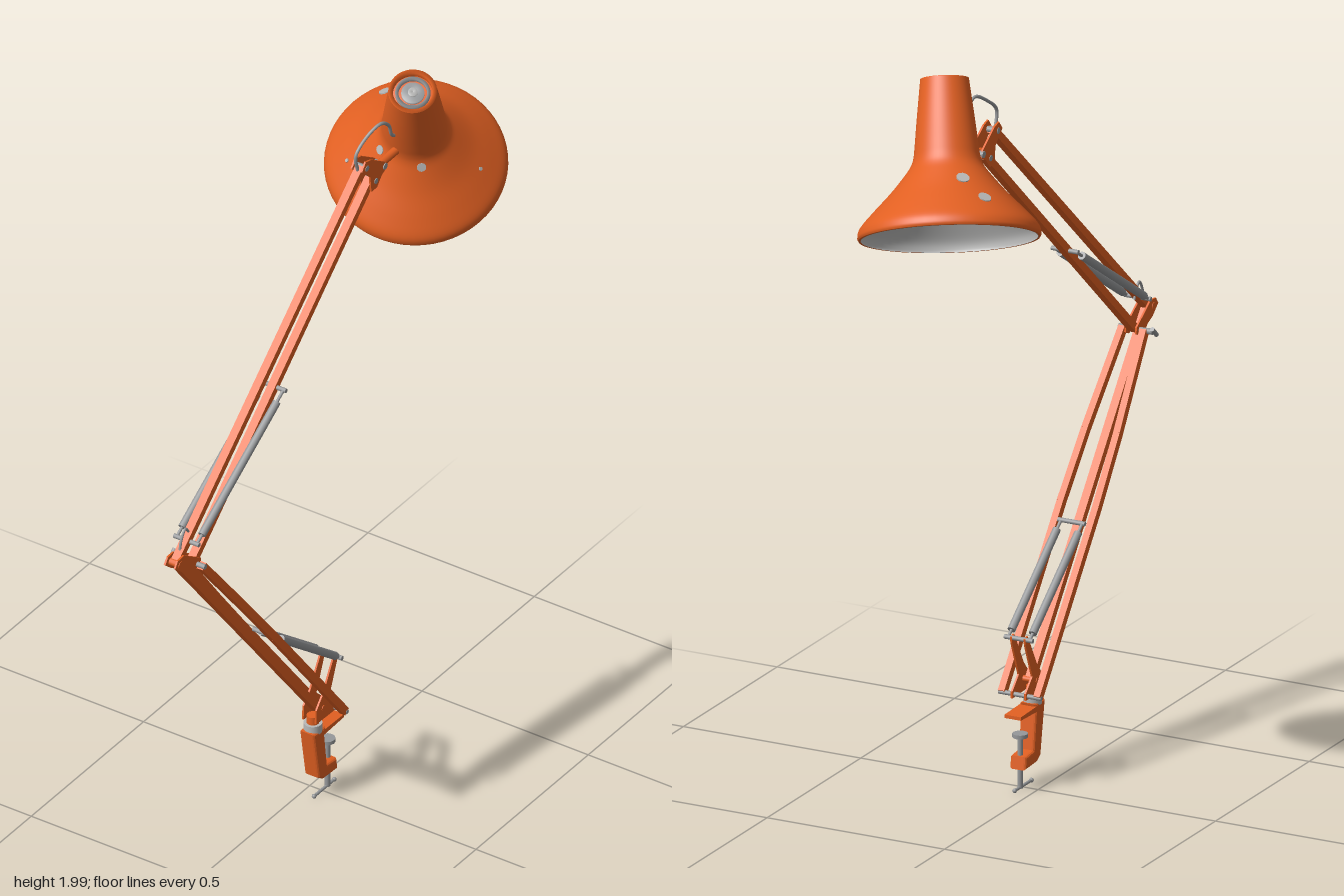
import * as THREE from 'three';

const mat = (name, color, side = THREE.FrontSide) => {
  const m = new THREE.MeshStandardMaterial({ color, side });
  m.name = name;
  return m;
};

export function createModel() {
  const orange = mat('orange paint', 0xe26022);
  const steel = mat('steel', 0x96989a);
  const pale = mat('pale grey', 0xb9b9b8, THREE.DoubleSide);
  const CX = 0.04; // plane of the arms
  const V = (x, y, z) => new THREE.Vector3(x, y, z);
  const P = (z, y, dx = 0) => V(CX + dx, y, z);

  const model = new THREE.Group();
  model.name = 'deskLamp';
  const add = (name, geo, material, parent = model) => {
    const m = new THREE.Mesh(geo, material);
    m.name = name;
    parent.add(m);
    return m;
  };

  // Place a y-long part between two points, keeping its x side level
  const span = (mesh, a, b) => {
    const d = b.clone().sub(a).normalize();
    const x = V(1, 0, 0);
    if (Math.abs(d.x) > 0.99) x.set(0, 0, 1);
    x.addScaledVector(d, -x.dot(d)).normalize();
    mesh.quaternion.setFromRotationMatrix(new THREE.Matrix4().makeBasis(x, d, x.clone().cross(d)));
    mesh.position.copy(a).add(b).multiplyScalar(0.5);
    return mesh;
  };
  const bar = (name, a, b, w, d) => span(add(name, new THREE.BoxGeometry(w, a.distanceTo(b), d), orange), a, b);
  const rod = (name, a, b, r, m = steel, sides = 12) =>
    span(add(name, new THREE.CylinderGeometry(r, r, a.distanceTo(b), sides), m), a, b);
  const pin = (name, z, y, half, r, m = steel) => rod(name, P(z, y, -half), P(z, y, half), r, m);
  const wire = (name, pts, r) =>
    add(name, new THREE.TubeGeometry(new THREE.CatmullRomCurve3(pts), 32, r, 8), steel);

  // Side profile in (z, y), extruded across x
  const plate = (name, pts, width, dx = 0, bevel = 0) => {
    const shape = new THREE.Shape(pts.map(([z, y]) => new THREE.Vector2(-z, y)));
    const geo = new THREE.ExtrudeGeometry(shape, {
      depth: width - 2 * bevel, bevelEnabled: bevel > 0, bevelSize: bevel,
      bevelThickness: bevel, bevelOffset: -bevel, bevelSegments: 3,
    });
    geo.translate(0, 0, -width / 2 + bevel).rotateY(Math.PI / 2).translate(CX + dx, 0, 0);
    return add(name, geo, orange);
  };

  // Table clamp
  plate('clampBody', [[0.073, 0.222], [0.018, 0.222], [0.024, 0.2], [0.012, 0.102], [-0.03, 0.097],
    [-0.035, 0.063], [0.03, 0.066], [0.05, 0.08]], 0.046, 0, 0.008);
  plate('clampJaw', [[0.05, 0.216], [-0.06, 0.213], [-0.06, 0.204], [0.05, 0.2]], 0.046);
  rod('clampScrew', P(-0.02, 0.01), P(-0.02, 0.15), 0.007);
  rod('clampPad', P(-0.02, 0.145), P(-0.02, 0.155), 0.02);
  rod('clampHandle', P(0.04, 0.012), P(-0.05, 0.012), 0.004);
  for (const z of [0.04, -0.05]) {
    add('handleEnd', new THREE.SphereGeometry(0.006, 10, 8), steel).position.copy(P(z, 0.012));
  }
  rod('pivotCollar', P(0.045, 0.215), P(0.045, 0.24), 0.024, pale, 20);
  rod('pivotPost', P(0.045, 0.23), P(0.045, 0.262), 0.016, orange, 16);

  // Base bracket carrying the lower arm and springs
  for (const s of [-1, 1]) {
    plate('baseBracket', [[0.062, 0.25], [0.06, 0.29], [0.03, 0.325], [-0.02, 0.415], [-0.034, 0.41],
      [-0.032, 0.395], [0.005, 0.3], [-0.03, 0.265], [-0.03, 0.247]], 0.005, s * 0.019);
  }
  pin('frontBasePin', 0.03, 0.282, 0.023, 0.008, orange);
  pin('rearBasePin', -0.02, 0.256, 0.06, 0.006);
  pin('baseSpringPin', -0.027, 0.407, 0.04, 0.006);

  // Lower arm: one central bar and a bowed pair behind it
  bar('lowerFrontBar', P(0.03, 0.276), P(0.655, 1.07), 0.022, 0.02);
  for (const s of [-1, 1]) {
    const pts = [[0, 0.05], [0.52, 0.05], [0.72, 0.045], [1, 0.03]].map(([t, dx]) =>
      P(-0.02 + 0.606 * t, 0.256 + 0.779 * t, s * dx));
    for (let i = 0; i < 3; i++) bar('lowerRearBar', pts[i], pts[i + 1], 0.018, 0.021);
  }

  // Elbow joint
  for (const s of [-1, 1]) {
    plate('elbowPlate', [[0.684, 1.075], [0.672, 1.092], [0.645, 1.094], [0.57, 1.045],
      [0.568, 1.028], [0.585, 1.02], [0.655, 1.05]], 0.005, s * 0.015);
  }
  pin('elbowFrontPin', 0.66, 1.074, 0.019, 0.01, orange);
  pin('elbowRearPin', 0.586, 1.035, 0.042, 0.007);
  rod('elbowKnob', P(0.586, 1.035, -0.054), P(0.586, 1.035, -0.04), 0.008);
  rod('elbowWingNut', P(0.598, 1.024, -0.058), P(0.574, 1.046, -0.058), 0.006);
  wire('elbowCable', [P(0.64, 1.085), P(0.632, 1.125), P(0.615, 1.15), P(0.6, 1.135), P(0.588, 1.11)], 0.0035);

  // Upper arm: two parallel bars in line
  bar('upperTopBar', P(0.655, 1.075), P(-0.17, 1.8), 0.022, 0.02);
  bar('upperBottomBar', P(0.586, 1.035), P(-0.21, 1.742), 0.022, 0.02);

  // Twin springs with cross pins and end hooks
  const springs = (name, a, b) => {
    pin(name + 'UpperPin', b[0], b[1], 0.038, 0.006);
    pin(name + 'LowerPin', a[0], a[1], 0.038, 0.006);
    for (const s of [-1, 1]) {
      const A = P(...a, s * 0.03), B = P(...b, s * 0.03);
      rod(name + 'Hook', A, B, 0.004);
      rod(name, A.clone().lerp(B, 0.06), A.clone().lerp(B, 0.92), 0.0105, steel, 14);
    }
  };
  springs('lowerSpring', [-0.027, 0.407], [0.255, 0.628]);
  springs('upperSpring', [0.607, 1.112], [0.22, 1.358]);

  // Head bracket and cable
  for (const s of [-1, 1]) {
    plate('headBracket', [[-0.148, 1.8], [-0.165, 1.822], [-0.19, 1.815], [-0.25, 1.775], [-0.26, 1.755],
      [-0.235, 1.742], [-0.215, 1.718], [-0.19, 1.718], [-0.185, 1.765]], 0.005, s * 0.015);
  }
  pin('headTopPin', -0.17, 1.8, 0.019, 0.008);
  pin('headBottomPin', -0.21, 1.74, 0.019, 0.008);
  pin('headStemPin', -0.25, 1.762, 0.02, 0.009);
  rod('headStem', P(-0.23, 1.76), P(-0.33, 1.768, 0.006), 0.011, orange);
  wire('headCable', [P(-0.155, 1.795), P(-0.146, 1.845), P(-0.185, 1.88, 0.005), P(-0.228, 1.902, 0.018),
    P(-0.262, 1.88, 0.02), P(-0.285, 1.835, 0.016), P(-0.33, 1.822, 0.015)], 0.0045);

  // Shade, built upright around its own axis and then tilted
  const head = new THREE.Group();
  head.name = 'lampHead';
  head.position.set(-0.002, 1.615, -0.477);
  head.quaternion.setFromUnitVectors(V(0, 1, 0), V(0.25, 0.875, 0.408).normalize());
  model.add(head);
  const v2 = ([r, y]) => new THREE.Vector2(r, y);
  const flare = new THREE.SplineCurve([[0.227, 0], [0.23, 0.01], [0.222, 0.032], [0.19, 0.068], [0.145, 0.115],
    [0.11, 0.157], [0.092, 0.182], [0.084, 0.204], [0.08, 0.235], [0.073, 0.3], [0.061, 0.403]].map(v2)).getPoints(50);
  add('shade', new THREE.LatheGeometry([v2([0.222, 0]), ...flare], 56), orange, head);
  const lining = flare.slice(0, 48).map(p => new THREE.Vector2(p.x - 0.006, Math.max(0, p.y - 0.004)));
  lining.push(v2([0.001, lining[47].y]));
  add('shadeLining', new THREE.LatheGeometry(lining.reverse(), 56), pale, head);

  // Recessed cap on top of the shade
  const ring = (name, r0, r1, y0, y1, m) => add(name, new THREE.LatheGeometry(
    [[r1, y0], [r1, y1], [r0, y1], [r0, y0]].map(v2), 36), m, head);
  ring('capRim', 0.05, 0.061, 0.385, 0.404, orange);
  ring('capFloor', 0.001, 0.051, 0.38, 0.388, orange);
  ring('capRing', 0.036, 0.044, 0.386, 0.398, steel);
  ring('capDisc', 0.001, 0.029, 0.386, 0.396, steel);
  ring('capHub', 0.001, 0.012, 0.394, 0.401, pale);

  // Bulb and holder
  add('bulb', new THREE.SphereGeometry(0.062, 32, 20), pale, head).position.y = 0.115;
  add('bulbHolder', new THREE.CylinderGeometry(0.03, 0.035, 0.13, 20), steel, head).position.y = 0.225;

  // Small fixings on the flare: pale outside, some with orange ends inside
  const fixings = [[-0.85, -0.53, 0.075, 0.017, 0.008], [-0.71, -0.71, 0.13, 0.017, 0.008],
    [-0.72, 0.7, 0.08, 0.005, 0.009], [0.97, -0.24, 0.085, 0.005, 0.008],
    [-0.47, 0.88, 0.17, 0.012, 0], [0.69, 0.72, 0.17, 0.012, 0]];
  for (const [x, z, y, outer, inner] of fixings) {
    const i = flare.findIndex((p, k) => k > 5 && p.y >= y);
    const t = flare[i + 1].clone().sub(flare[i - 1]).normalize();
    const n = V(x * t.y, -t.x, z * t.y).normalize();
    const disc = (name, r, offset, m) => {
      const d = add(name, new THREE.CylinderGeometry(r, r, 0.004, 10), m, head);
      d.quaternion.setFromUnitVectors(V(0, 1, 0), n);
      d.position.set(x * flare[i].x, flare[i].y, z * flare[i].x).addScaledVector(n, offset);
    };
    disc('fixingHead', outer, 0.0005, pale);
    if (inner) disc('fixingEnd', inner, -0.008, orange);
  }
  return model;
}
